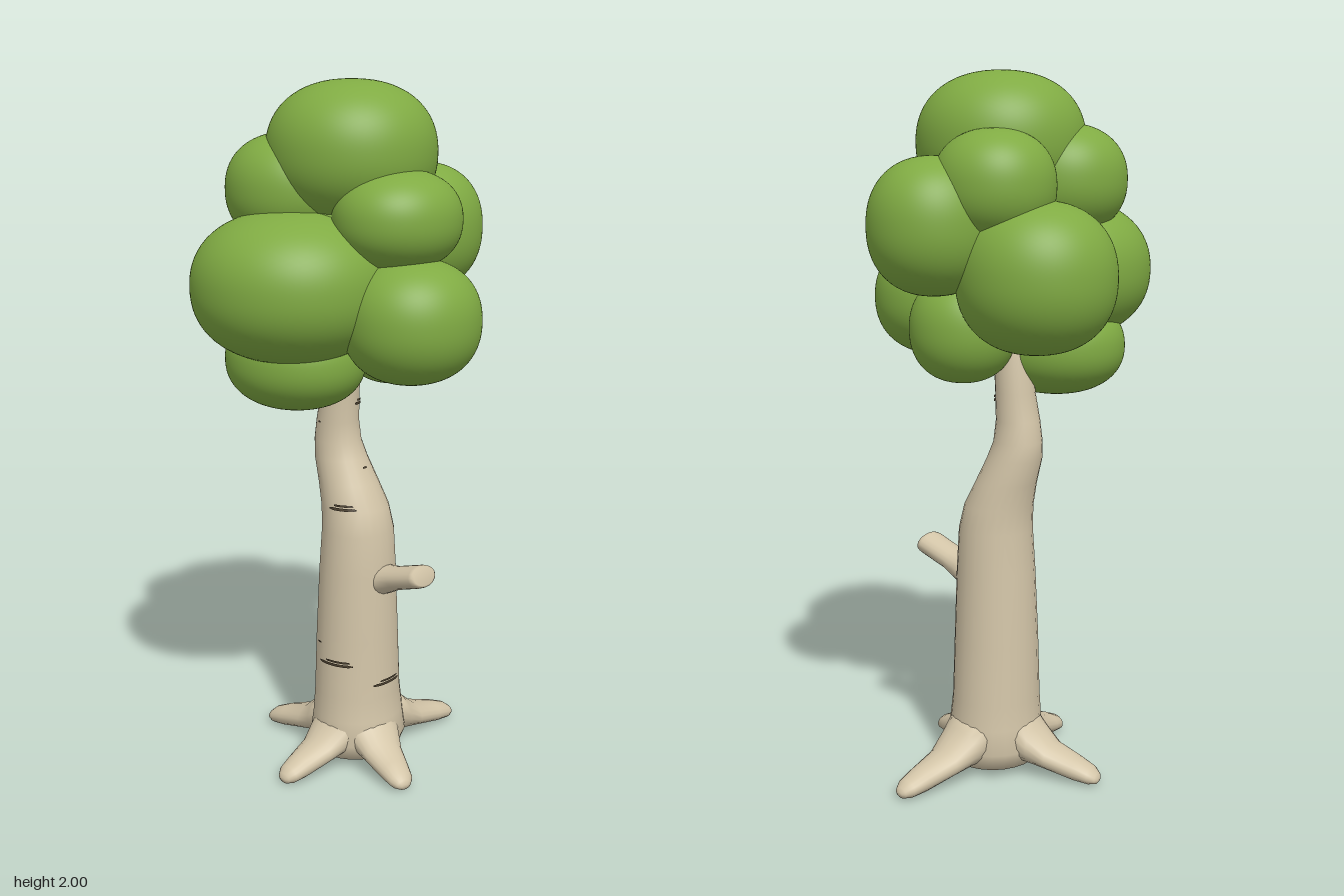
import * as THREE from 'three';
import { mergeVertices } from 'three/addons/utils/BufferGeometryUtils.js';

const bark = new THREE.MeshStandardMaterial({ color: 0xd3c5a8 });
bark.name = 'pale bark';
const leaf = new THREE.MeshStandardMaterial({ color: 0x80ab43 });
leaf.name = 'leaf green';
const scar = new THREE.MeshStandardMaterial({ color: 0x4a3f2e, side: THREE.DoubleSide });
scar.name = 'dark bark mark';

const UP = new THREE.Vector3(0, 1, 0);

// Closed skin through elliptical rings; each ring is [centre, cosRadius, sinRadius]
function loft(rings, u, d, sides = 18) {
  const v = u.clone().cross(d);
  const pos = [], index = [];
  const all = [[rings[0][0], 0, 0], ...rings, [rings.at(-1)[0], 0, 0]];
  all.forEach(([c, ru, rv]) => {
    for (let j = 0; j < sides; j++) {
      const a = (j / sides) * Math.PI * 2;
      const p = c.clone().addScaledVector(u, ru * Math.cos(a)).addScaledVector(v, rv * Math.sin(a));
      pos.push(p.x, p.y, p.z);
    }
  });
  for (let i = 0; i < all.length - 1; i++) {
    for (let j = 0; j < sides; j++) {
      const k = (j + 1) % sides;
      const a = i * sides + j, b = i * sides + k, c = a + sides, e = b + sides;
      index.push(a, c, b, b, c, e);
    }
  }
  const g = new THREE.BufferGeometry();
  g.setAttribute('position', new THREE.Float32BufferAttribute(pos, 3));
  g.setIndex(index);
  g.computeVertexNormals();
  return g;
}

// Trunk sections: y, min x, max x, min z, max z
const TRUNK = [
  [0.03, -0.13, 0.11, -0.17, 0.09],
  [0.08, -0.15, 0.13, -0.19, 0.11],
  [0.15, -0.142, 0.12, -0.182, 0.1],
  [0.22, -0.138, 0.112, -0.175, 0.093],
  [0.4, -0.133, 0.108, -0.165, 0.086],
  [0.6, -0.124, 0.102, -0.155, 0.077],
  [0.72, -0.117, 0.095, -0.148, 0.068],
  [0.79, -0.12, 0.078, -0.14, 0.06],
  [0.86, -0.133, 0.042, -0.128, 0.049],
  [0.93, -0.152, 0.008, -0.113, 0.036],
  [0.98, -0.154, -0.012, -0.103, 0.028],
  [1.04, -0.145, -0.018, -0.095, 0.025],
  [1.12, -0.128, -0.015, -0.09, 0.023],
  [1.4, -0.1, 0.0, -0.085, 0.02],
];

// Point just outside the trunk at a height and angle
function trunkPoint(y, angle, offset) {
  let i = 0;
  while (i < TRUNK.length - 2 && TRUNK[i + 1][0] < y) i++;
  const t = (y - TRUNK[i][0]) / (TRUNK[i + 1][0] - TRUNK[i][0]);
  const [, x0, x1, z0, z1] = TRUNK[i].map((s, k) => s + (TRUNK[i + 1][k] - s) * t);
  return [
    (x0 + x1) / 2 + ((x1 - x0) / 2 + offset) * Math.cos(angle), y,
    (z0 + z1) / 2 + ((z1 - z0) / 2 + offset) * Math.sin(angle),
  ];
}

// Thin curved strip lying on the bark
function strip(y, angle, halfAngle, height) {
  const pos = [], index = [], n = 8;
  for (let i = 0; i <= n; i++) {
    const a = angle + halfAngle * (1 - (2 * i) / n);
    const h = height * (i === 0 || i === n ? 0.25 : 0.5);
    pos.push(...trunkPoint(y - h, a, 0.004), ...trunkPoint(y + h, a, 0.004));
    if (i < n) index.push(2 * i, 2 * i + 2, 2 * i + 1, 2 * i + 1, 2 * i + 2, 2 * i + 3);
  }
  const g = new THREE.BufferGeometry();
  g.setAttribute('position', new THREE.Float32BufferAttribute(pos, 3));
  g.setIndex(index);
  g.computeVertexNormals();
  return g;
}

// Slightly squared-off ball, used for every leaf clump
function clumpGeometry() {
  let g = new THREE.IcosahedronGeometry(1, 14);
  g.deleteAttribute('uv');
  g.deleteAttribute('normal');
  g = mergeVertices(g);
  const p = g.attributes.position, e = 2.25;
  for (let i = 0; i < p.count; i++) {
    const r = Math.hypot(p.getX(i), p.getZ(i)), y = Math.abs(p.getY(i));
    const s = (r ** e + y ** e) ** (-1 / e);
    p.setXYZ(i, p.getX(i) * s, p.getY(i) * s, p.getZ(i) * s);
  }
  g.computeVertexNormals();
  return g;
}

export function createModel() {
  const tree = new THREE.Group();
  tree.name = 'tree';
  const add = (name, geometry, material) => {
    const m = new THREE.Mesh(geometry, material);
    m.name = name;
    tree.add(m);
    return m;
  };

  // Crooked trunk
  const rings = TRUNK.map(([y, x0, x1, z0, z1]) =>
    [new THREE.Vector3((x0 + x1) / 2, y, (z0 + z1) / 2), (x1 - x0) / 2, (z1 - z0) / 2]);
  add('trunk', loft(rings, new THREE.Vector3(1, 0, 0), UP, 24), bark);

  // Four spreading roots: fraction along, centre height, half height, half width
  const ROOT = [
    [0, 0.1, 0.07, 0.08], [0.3, 0.115, 0.08, 0.085], [0.41, 0.09, 0.058, 0.075],
    [0.56, 0.062, 0.038, 0.06], [0.8, 0.04, 0.033, 0.045],
    [0.93, 0.029, 0.025, 0.036], [0.985, 0.023, 0.015, 0.022], [1, 0.021, 0.006, 0.01],
  ];
  const start = new THREE.Vector3(-0.01, 0, -0.04);
  const tips = { rootLeft: [0.26, 0.09], rootFront: [-0.045, 0.275], rootRight: [-0.35, -0.03], rootBack: [0.08, -0.405] };
  for (const [name, [x, z]] of Object.entries(tips)) {
    const tip = new THREE.Vector3(x, 0, z);
    const dir = tip.clone().sub(start).normalize();
    const sections = ROOT.map(([t, y, h, w]) => [start.clone().lerp(tip, t).setY(y), h, w]);
    add(name, loft(sections, UP, dir), bark);
  }

  // Broken branch stub
  const a = new THREE.Vector3(0.04, 0.565, -0.045), b = new THREE.Vector3(0.252, 0.635, -0.006);
  const dir = b.clone().sub(a).normalize();
  const up = UP.clone().addScaledVector(dir, -dir.y).normalize();
  const stub = [[0, 0.05, 0.06], [0.3, 0.042, 0.052], [0.5, 0.034, 0.046], [0.93, 0.033, 0.05], [0.98, 0.031, 0.047], [1, 0.026, 0.041]]
    .map(([t, h, w]) => [a.clone().lerp(b, t), h, w]);
  add('branchStub', loft(stub, up, dir), bark);

  // Dark bark marks: height, angle, half angle; wide ones are paired strips
  const F = Math.PI / 2;
  [
    [0.8, F - 0.3, 0.42, true], [0.33, F - 0.12, 0.46, true], [0.385, F + 0.4, 0.08, false],
    [0.265, 0.12, 0.4, true], [1.095, -0.2, 0.3, true], [0.91, 0.1, 0.1, false], [1.04, F + 0.3, 0.08, false],
  ].forEach(([y, angle, half, pair]) => {
    add('barkMark', strip(y, angle, half, pair ? 0.008 : 0.005), scar);
    if (pair) add('barkMark', strip(y + 0.01, angle - half * 0.15, half * 0.7, 0.006), scar);
  });

  // Leaf clumps: centre, then radii
  const clump = clumpGeometry();
  [
    ['clumpTop', -0.005, 1.805, -0.002, 0.235, 0.195, 0.237],
    ['clumpFront', -0.078, 1.453, 0.17, 0.278, 0.207, 0.277],
    ['clumpRightBack', -0.2, 1.45, -0.14, 0.218, 0.205, 0.215],
    ['clumpUpperBack', -0.1, 1.69, -0.19, 0.165, 0.15, 0.165],
    ['clumpUpperFront', -0.15, 1.705, 0.085, 0.182, 0.155, 0.18],
    ['clumpBack', 0.045, 1.585, -0.26, 0.176, 0.185, 0.19],
    ['clumpUpperLeft', 0.17, 1.635, 0.025, 0.17, 0.135, 0.187],
    ['clumpLowerLeft', 0.228, 1.37, 0.037, 0.187, 0.17, 0.196],
    ['clumpUnderFront', -0.11, 1.24, 0.12, 0.205, 0.14, 0.187],
    ['clumpUnderBack', 0.04, 1.3, -0.13, 0.15, 0.15, 0.148],
    ['canopyCore', -0.02, 1.53, -0.02, 0.2, 0.25, 0.2],
  ].forEach(([name, x, y, z, rx, ry, rz]) => {
    const m = add(name, clump, leaf);
    m.position.set(x, y, z);
    m.scale.set(rx, ry, rz);
  });

  return tree;
}
